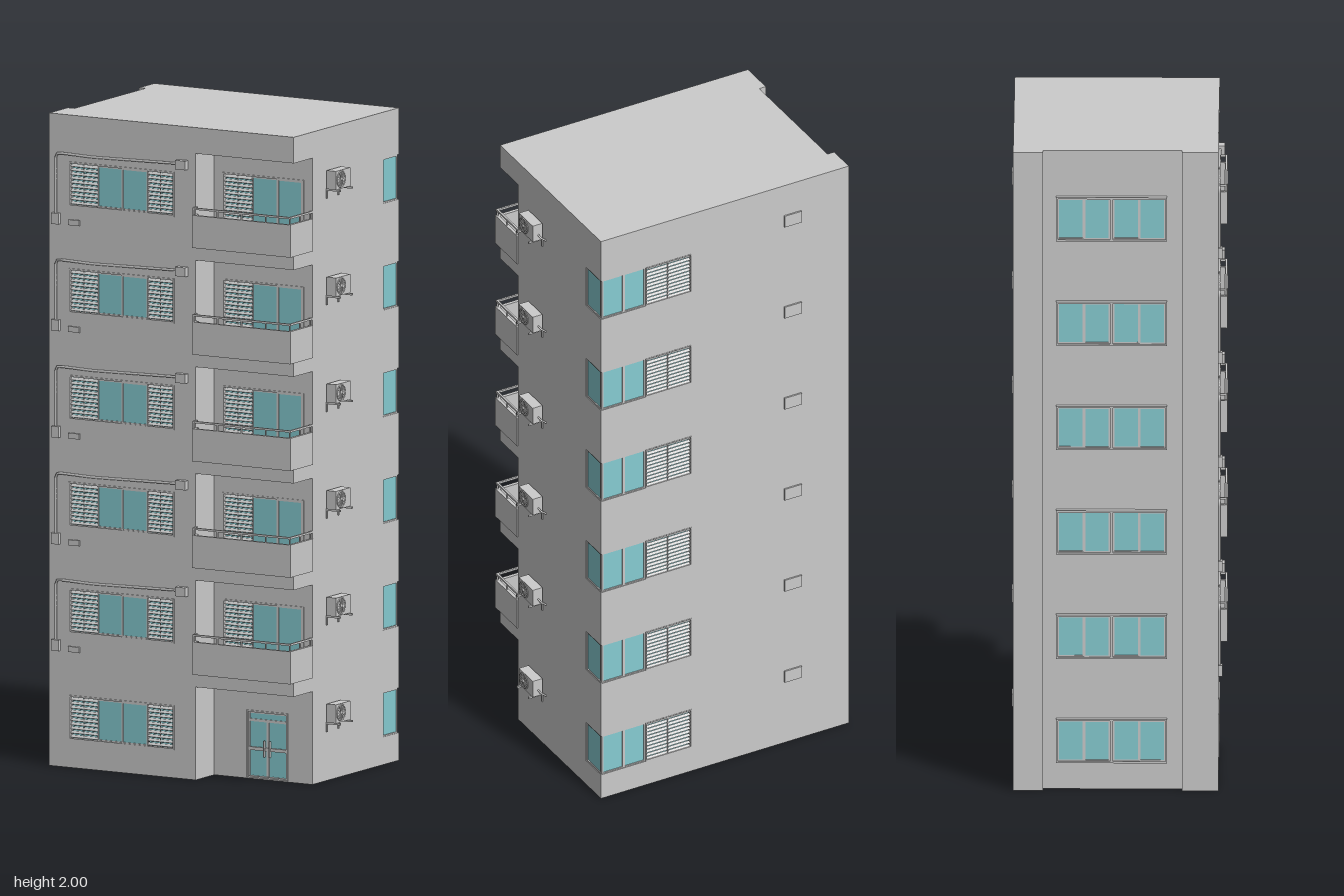
import * as THREE from 'three';

const grey = new THREE.MeshStandardMaterial({ color: 0xcccccc });
const glass = new THREE.MeshStandardMaterial({ color: 0x86ccd2 });
const FLOORS = 6, RISE = 0.327, TOP = 2;
const WIN = [0.085, 0.222];

function add(parent, name, geo, mat = grey) {
  const m = new THREE.Mesh(geo, mat);
  m.name = name;
  parent.add(m);
  return m;
}

// Box given by its limits on each axis
function box(parent, name, x0, x1, y0, y1, z0, z1, mat = grey) {
  const m = add(parent, name, new THREE.BoxGeometry(x1 - x0, y1 - y0, z1 - z0), mat);
  m.position.set((x0 + x1) / 2, (y0 + y1) / 2, (z0 + z1) / 2);
  return m;
}

function group(parent, name, x = 0, y = 0, z = 0, turn = 0) {
  const g = new THREE.Group();
  g.name = name;
  g.position.set(x, y, z);
  g.rotation.y = turn;
  parent.add(g);
  return g;
}

// Full-height wall from u = a to u = b; holes are [u0, u1, y0, y1]; notch cuts edge b back to u = notch
function wall(parent, name, a, b, holes, notch) {
  const pts = [[a, 0], [b, 0]];
  if (notch !== undefined) {
    for (let i = 0; i < FLOORS; i++) {
      const y0 = WIN[0] + i * RISE, y1 = WIN[1] + i * RISE;
      pts.push([b, y0], [notch, y0], [notch, y1], [b, y1]);
    }
  }
  pts.push([b, TOP], [a, TOP]);
  const shape = new THREE.Shape(pts.map(p => new THREE.Vector2(...p)));
  for (const [u0, u1, y0, y1] of holes) {
    const corners = [[u0, y0], [u0, y1], [u1, y1], [u1, y0]];
    shape.holes.push(new THREE.Path(corners.map(p => new THREE.Vector2(...p))));
  }
  const geo = new THREE.ExtrudeGeometry(shape, { depth: 0.012, bevelEnabled: false });
  geo.translate(0, 0, -0.012);
  return add(parent, name, geo);
}

// Four bars around an opening
function frame(parent, u0, u1, y0, y1, z0, z1, t = 0.005) {
  box(parent, 'frameSide', u0, u0 + t, y0, y1, z0, z1);
  box(parent, 'frameSide', u1 - t, u1, y0, y1, z0, z1);
  box(parent, 'frameTop', u0 + t, u1 - t, y1 - t, y1, z0, z1);
  box(parent, 'frameSill', u0 + t, u1 - t, y0, y0 + t, z0, z1);
}

function pane(parent, u0, u1, y0, y1, z = 0) {
  box(parent, 'glassPane', u0 + 0.002, u1 - 0.002, y0 + 0.002, y1 - 0.002, z - 0.009, z - 0.005, glass);
  frame(parent, u0, u1, y0, y1, z - 0.01, z - 0.002, 0.004);
}

// Slatted shutter with a pane behind it
function louvre(parent, u0, u1, y0, y1) {
  box(parent, 'rearPane', u0, u1, y0, y1, -0.012, -0.011, glass);
  const n = Math.round((y1 - y0) / 0.013);
  for (let k = 0; k < n; k++) {
    const y = y0 + (k + 0.5) * (y1 - y0) / n;
    const s = box(parent, 'slat', u0, u1, y - 0.0045, y + 0.0045, -0.006, -0.004);
    s.rotation.x = -0.6;
  }
  const mid = (u0 + u1) / 2;
  box(parent, 'slatRod', mid - 0.0015, mid + 0.0015, y0, y1, -0.003, -0.001);
}

function airConditioner(parent) {
  const g = group(parent, 'airConditioner', 0.405, 0, 0, Math.PI / 2);
  box(g, 'casing', -0.115, -0.03, 0.18, 0.237, 0.006, 0.039);
  const fan = group(g, 'fan', -0.085, 0.209, 0.039);
  add(fan, 'fanRing', new THREE.TorusGeometry(0.024, 0.0025, 6, 24));
  add(fan, 'fanHub', new THREE.SphereGeometry(0.006, 12, 8));
  for (let k = 0; k < 6; k++) {
    const bar = box(fan, 'fanBar', -0.024, 0.024, -0.001, 0.001, 0, 0.002);
    bar.rotation.z = k * Math.PI / 6;
  }
  for (const u of [-0.107, -0.038]) {
    box(g, 'bracketArm', u - 0.003, u + 0.003, 0.174, 0.18, 0, 0.05);
    box(g, 'bracketPlate', u - 0.003, u + 0.003, 0.15, 0.18, 0, 0.004);
  }
  const path = new THREE.CatmullRomCurve3([[-0.03, 0.2, 0.02], [-0.018, 0.195, 0.018], [-0.018, 0.18, 0]]
    .map(p => new THREE.Vector3(...p)));
  add(g, 'hose', new THREE.TubeGeometry(path, 10, 0.003, 6));
}

function balcony(parent) {
  const g = group(parent, 'balcony');
  box(g, 'balconyFloor', 0.062, 0.406, 0, 0.012, 0.19, 0.323);
  box(g, 'parapetFront', 0.062, 0.408, 0, 0.1, 0.315, 0.325);
  box(g, 'parapetSide', 0.398, 0.408, 0, 0.1, 0.19, 0.315);
  box(g, 'parapetSide', 0.062, 0.072, 0, 0.1, 0.3, 0.315);
  // Handrail and posts
  box(g, 'railFront', 0.062, 0.408, 0.117, 0.123, 0.317, 0.323);
  box(g, 'railSide', 0.4, 0.406, 0.117, 0.123, 0.19, 0.32);
  box(g, 'railSide', 0.062, 0.068, 0.117, 0.123, 0.3, 0.32);
  for (let k = 0; k < 5; k++) {
    const x = 0.065 + k * 0.0845;
    box(g, 'railPost', x - 0.002, x + 0.002, 0.1, 0.118, 0.318, 0.322);
  }
  for (const z of [0.2, 0.26]) box(g, 'railPost', 0.401, 0.405, 0.1, 0.118, z - 0.002, z + 0.002);
  // Sliding window and shutter on the recessed wall
  const w = group(g, 'balconyWindow', 0, 0, 0.19);
  frame(w, 0.09, 0.375, 0.04, 0.215, -0.01, 0.003);
  louvre(w, 0.095, 0.19, 0.045, 0.21);
  pane(w, 0.192, 0.282, 0.045, 0.21);
  pane(w, 0.282, 0.37, 0.045, 0.21, 0.003);
}

function entrance(parent) {
  const g = group(parent, 'entrance', 0, 0, 0.19);
  frame(g, 0.175, 0.32, 0.004, 0.21, -0.01, 0.004);
  pane(g, 0.18, 0.315, 0.18, 0.205);
  for (const [u0, u1, h] of [[0.18, 0.2475, 0.238], [0.2475, 0.315, 0.257]]) {
    pane(g, u0, u1, 0.006, 0.18);
    box(g, 'doorRail', u0, u1, 0.088, 0.098, -0.006, 0.001);
    box(g, 'doorHandle', h - 0.002, h + 0.002, 0.07, 0.12, 0, 0.008);
  }
}

function frontFittings(parent) {
  const g = group(parent, 'frontPipework', 0, 0, 0.3);
  const path = new THREE.CatmullRomCurve3([[-0.43, 0.06, 0.004], [-0.43, 0.235, 0.004], [-0.42, 0.246, 0.003],
    [-0.3, 0.243, 0.001], [0.01, 0.25, 0.003]].map(p => new THREE.Vector3(...p)), false, 'catmullrom', 0.1);
  add(g, 'pipe', new THREE.TubeGeometry(path, 40, 0.004, 6));
  box(g, 'valveBox', -0.442, -0.416, 0.028, 0.062, 0, 0.012);
  box(g, 'wallVent', -0.386, -0.346, 0.028, 0.045, 0, 0.006);
  box(g, 'junctionBox', -0.002, 0.034, 0.234, 0.262, 0, 0.018);
}

export function createModel() {
  const model = new THREE.Group();
  model.name = 'apartmentBlock';
  const perFloor = (u0, u1, y0, y1, first = 0) => Array.from({ length: FLOORS - first },
    (_, k) => [u0, u1, y0 + (k + first) * RISE, y1 + (k + first) * RISE]);

  // Hollow shell, open underneath
  const front = group(model, 'frontSide', 0, 0, 0.3);
  wall(front, 'frontWall', -0.455, 0.06, perFloor(-0.385, -0.015, ...WIN));
  const recess = group(model, 'recessSide', 0, 0, 0.19);
  wall(recess, 'recessWall', 0.05, 0.405, [...perFloor(0.09, 0.375, 0.04, 0.215, 1), [0.175, 0.32, 0.004, 0.21]]);
  box(model, 'recessReturn', 0.048, 0.06, 0, TOP, 0.178, 0.3);
  const right = group(model, 'leftSide', 0.405, 0, 0, Math.PI / 2);
  wall(right, 'leftWall', -0.19, 0.32, [], 0.228);
  const back = group(model, 'backSide', 0, 0, -0.32, Math.PI);
  wall(back, 'backWall', 0.455, -0.405, [], -0.09);
  const side = group(model, 'rightSide', -0.432, 0, 0, -Math.PI / 2);
  wall(side, 'rightWall', -0.32, 0.3, perFloor(-0.19, 0.145, ...WIN));
  box(model, 'rearPier', -0.455, -0.432, 0, TOP, -0.32, -0.23);
  box(model, 'frontPier', -0.455, -0.432, 0, TOP, 0.19, 0.3);

  // Flat roof following the notched plan
  const plan = [[-0.455, -0.3], [0.405, -0.3], [0.405, 0.32], [-0.455, 0.32], [-0.455, 0.23],
    [-0.432, 0.23], [-0.432, -0.19], [-0.455, -0.19]];
  const roof = add(model, 'roof', new THREE.ExtrudeGeometry(
    new THREE.Shape(plan.map(p => new THREE.Vector2(...p))), { depth: 0.01, bevelEnabled: false }));
  roof.rotation.x = -Math.PI / 2;
  roof.position.y = TOP - 0.01;

  for (let i = 0; i < FLOORS; i++) {
    const y = i * RISE;
    const storey = group(model, 'storey', 0, y);
    // Slab over the recess
    box(storey, 'recessLintel', 0.06, 0.405, 0.285, i === FLOORS - 1 ? TOP - y : RISE, 0.18, 0.3);

    const fw = group(storey, 'frontWindow', 0, 0, 0.3);
    const [y0, y1] = [WIN[0] + 0.005, WIN[1] - 0.005];
    frame(fw, -0.385, -0.015, ...WIN, -0.01, 0.003);
    louvre(fw, -0.38, -0.287, y0, y1);
    pane(fw, -0.287, -0.198, y0, y1);
    pane(fw, -0.198, -0.109, y0, y1, 0.003);
    louvre(fw, -0.109, -0.02, y0, y1);

    const sw = group(storey, 'sideWindow', -0.432, 0, 0, -Math.PI / 2);
    for (const u of [-0.19, -0.0225]) {
      frame(sw, u, u + 0.1675, ...WIN, -0.01, 0.018);
      pane(sw, u + 0.005, u + 0.084, y0, y1, 0.012);
      pane(sw, u + 0.084, u + 0.1625, y0, y1, 0.015);
    }

    // Window wrapping the rear corner
    const cw = group(storey, 'cornerWindowSide', 0.405, 0, 0, Math.PI / 2);
    pane(cw, 0.228, 0.315, ...WIN);
    const bw = group(storey, 'cornerWindowBack', 0, 0, -0.32, Math.PI);
    pane(bw, -0.4, -0.325, ...WIN);
    pane(bw, -0.325, -0.25, ...WIN);
    louvre(bw, -0.25, -0.095, ...WIN);
    frame(bw, -0.25, -0.09, ...WIN, -0.01, 0.001, 0.004);
    box(bw, 'backVent', 0.23, 0.29, 0.218, 0.258, 0, 0.005);

    airConditioner(storey);
    if (i === 0) entrance(storey);
    else {
      balcony(storey);
      frontFittings(storey);
    }
  }
  return model;
}
